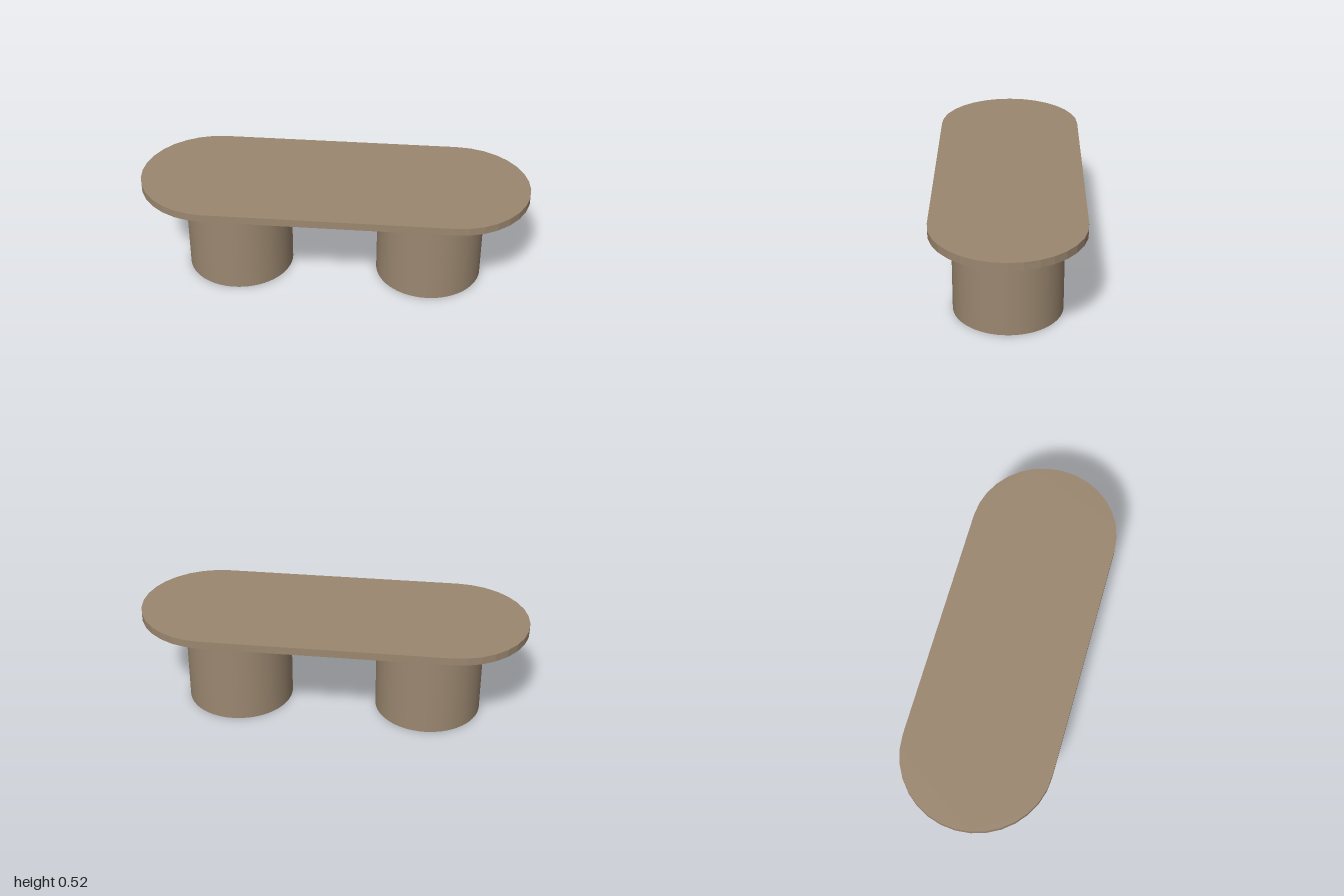
import * as THREE from 'three';

const END_RADIUS = 0.38, TOP_Y = 0.478, THICKNESS = 0.04;
const LEG_RADIUS = 0.275, LEG_X = 0.5;

export function createModel() {
  const table = new THREE.Group();
  table.name = 'table';
  const wood = new THREE.MeshStandardMaterial({ color: 0x9b8770 });
  wood.name = 'taupe wood';
  const legWood = wood; // one colour throughout
  legWood.side = THREE.DoubleSide; // the drum legs are open at the bottom

  // Stadium-shaped table top
  const cx = 1 - END_RADIUS;
  const outline = new THREE.Shape();
  outline.absarc(cx, 0, END_RADIUS, -Math.PI / 2, Math.PI / 2);
  outline.absarc(-cx, 0, END_RADIUS, Math.PI / 2, Math.PI * 1.5);
  outline.closePath();
  const topGeometry = new THREE.ExtrudeGeometry(outline, {
    depth: THICKNESS, bevelEnabled: false, curveSegments: 8,
  });
  topGeometry.rotateX(-Math.PI / 2);
  const top = new THREE.Mesh(topGeometry, wood);
  top.name = 'tableTop';
  top.position.y = TOP_Y;
  table.add(top);

  // Two hollow drum legs
  const legGeometry = new THREE.CylinderGeometry(LEG_RADIUS, LEG_RADIUS, TOP_Y, 64, 1, true);
  for (const [name, side] of [['leftLeg', 1], ['rightLeg', -1]]) {
    const leg = new THREE.Mesh(legGeometry, legWood);
    leg.name = name;
    leg.position.set(side * LEG_X, TOP_Y / 2, 0);
    table.add(leg);
  }
  return table;
}
